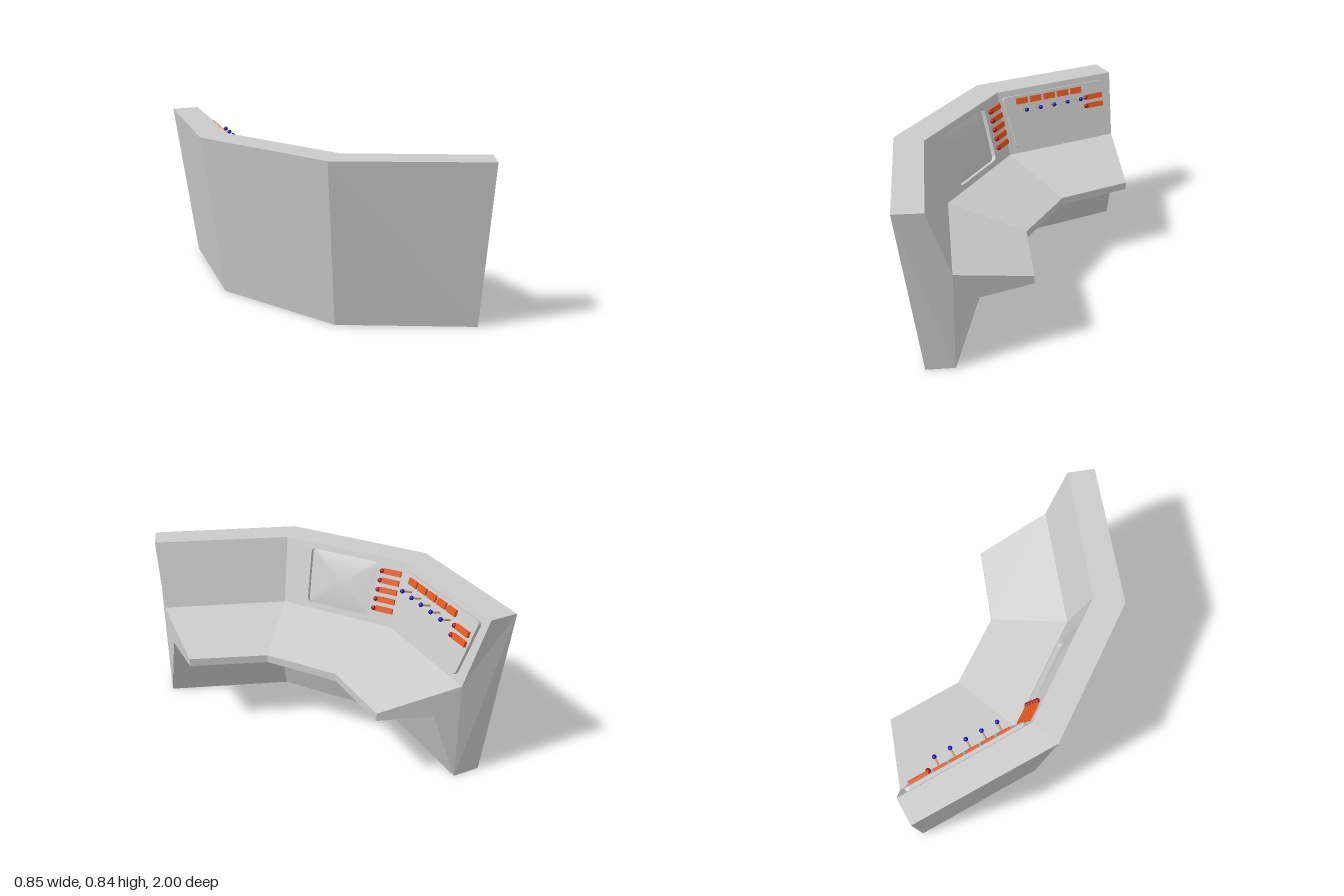
import * as THREE from 'three';
import { toCreasedNormals } from 'three/addons/utils/BufferGeometryUtils.js';

const material = (color) => new THREE.MeshStandardMaterial({ color });
const grey = material(0xcccccc), orange = material(0xe85a20), red = material(0xb01414);
const blue = material(0x1414c0), brass = material(0xc8a060);

function add(parent, name, geometry, mat, x = 0, y = 0, z = 0) {
  const mesh = new THREE.Mesh(geometry, mat);
  mesh.name = name;
  mesh.position.set(x, y, z);
  parent.add(mesh);
  return mesh;
}

function surface(triangles) {
  const g = new THREE.BufferGeometry();
  g.setAttribute('position', new THREE.Float32BufferAttribute(triangles.flat(2), 3));
  g.computeVertexNormals();
  return g;
}

// Polygon with rounded corners, corners listed counter-clockwise
function roundedShape(corners, r) {
  const pts = corners.map(([x, y]) => new THREE.Vector2(x, y));
  const shape = new THREE.Shape();
  pts.forEach((p, i) => {
    const toward = (q) => p.clone().add(q.clone().sub(p).setLength(r));
    const a = toward(pts[(i + pts.length - 1) % pts.length]);
    const b = toward(pts[(i + 1) % pts.length]);
    if (i === 0) shape.moveTo(a.x, a.y); else shape.lineTo(a.x, a.y);
    shape.quadraticCurveTo(p.x, p.y, b.x, b.y);
  });
  shape.closePath();
  return shape;
}

// Group lying on a sloped panel: x along it, y up the slope, z outwards
function panelGroup(name, origin, along, up) {
  const u = new THREE.Vector3(...along).normalize();
  const v = new THREE.Vector3(...up).normalize();
  const group = new THREE.Group();
  group.name = name;
  group.applyMatrix4(new THREE.Matrix4().makeBasis(u, v, u.clone().cross(v)).setPosition(...origin));
  return group;
}

// Desk body: one profile at the outer end and at the bend, mirrored in z
function consoleBody() {
  const end = [[0, 0.84, 1], [0.115, 0.84, 0.92], [0.185, 0.51, 0.835], [0.42, 0.4, 0.52],
    [0.42, 0.36, 0.52], [0.26, 0.36, 0.737], [0.185, 0, 0.835], [0.07, 0, 0.915]];
  const bend = [[-0.43, 0.84, 0.385], [-0.28, 0.84, 0.345], [-0.18, 0.51, 0.31], [0.2, 0.4, 0.195],
    [0.2, 0.36, 0.195], [-0.062, 0.36, 0.275], [-0.18, 0, 0.31], [-0.32, 0, 0.352]];
  const mirror = (s) => s.map(([x, y, z]) => [x, y, -z]);
  const sections = [end, bend, mirror(bend), mirror(end)];
  const tris = [];
  for (let i = 0; i < 3; i++) {
    for (let j = 0; j < 8; j++) {
      if (i === 1 && j === 1) continue; // screen panel is made separately
      const k = (j + 1) % 8, s = sections[i], t = sections[i + 1];
      tris.push([s[j], s[k], t[k]], [s[j], t[k], t[j]]);
    }
  }
  // end caps
  for (const [a, b, c] of [[2, 3, 4], [2, 4, 5], [2, 5, 6], [0, 1, 2], [0, 2, 6], [0, 6, 7]]) {
    tris.push([sections[0][a], sections[0][c], sections[0][b]]);
    tris.push([sections[3][a], sections[3][b], sections[3][c]]);
  }
  return surface(tris);
}

// Recess walls and domed screen, lofted inwards from the outline
function screenGeometry(outline, cy) {
  const pts = outline.getPoints(6).slice(0, -1);
  const depth = 0.022, dome = 0.014;
  const ring = (k, z) => pts.map((p) => [p.x * k, cy + (p.y - cy) * k, z]);
  const rings = [ring(1, 0), ring(1, -depth)];
  for (const k of [0.95, 0.8, 0.6, 0.4, 0.2, 0.001]) rings.push(ring(k, -depth + dome * (1 - k * k)));
  const tris = [];
  for (let i = 0; i < rings.length - 1; i++) {
    for (let j = 0; j < pts.length; j++) {
      const k = (j + 1) % pts.length, a = rings[i], b = rings[i + 1];
      tris.push([a[j], a[k], b[k]], [a[j], b[k], b[j]]);
    }
  }
  return toCreasedNormals(surface(tris), 0.6);
}

// Orange bar with a red knob at its left end
function labelledButton(parent, x, y, z, length) {
  add(parent, 'buttonBar', new THREE.BoxGeometry(length, 0.027, 0.014), orange, x, y, z + 0.007);
  add(parent, 'buttonKnob', new THREE.SphereGeometry(0.012, 12, 8), red, x - length / 2 - 0.008, y, z + 0.012);
}

export function createModel() {
  const model = new THREE.Group();
  model.name = 'controlConsole';
  add(model, 'consoleBody', consoleBody(), grey);

  // Middle panel with recessed screen
  const middle = panelGroup('middlePanel', [-0.18, 0.51, 0], [0, 0, -1], [-0.1, 0.33, 0]);
  model.add(middle);
  const height = Math.hypot(0.1, 0.33);
  const face = new THREE.Shape([[-0.31, 0], [0.31, 0], [0.345, height], [-0.345, height]]
    .map(([x, y]) => new THREE.Vector2(x, y)));
  const outline = roundedShape([[-0.175, 0.03], [0.175, 0.03], [0.193, 0.315], [-0.193, 0.315]], 0.025);
  face.holes.push(new THREE.Path(outline.getPoints(6)));
  add(middle, 'screenSurround', new THREE.ShapeGeometry(face), grey);
  add(middle, 'screen', screenGeometry(outline, 0.172), grey);
  for (let i = 0; i < 5; i++) labelledButton(middle, 0.264 + i * 0.0037, 0.082 + i * 0.049, 0, 0.095);

  // Right wing panel with raised control plate
  const wing = panelGroup('wingPanel', [-0.18, 0.51, -0.31], [0.566, 0, -0.824],
    [-0.102 * 0.824, 0.33, -0.102 * 0.566]);
  model.add(wing);
  const thickness = 0.018;
  const plate = roundedShape([[0.045, 0.026], [0.582, 0.026], [0.622, 0.314], [-0.008, 0.314]], 0.025);
  add(wing, 'controlPlate', new THREE.ExtrudeGeometry(plate,
    { depth: thickness, bevelEnabled: false, curveSegments: 6 }), grey);

  // Indicator blocks, each with a lever below
  for (let i = 0; i < 5; i++) {
    const x = 0.1 + i * 0.083;
    add(wing, 'indicator', new THREE.BoxGeometry(0.066, 0.032, 0.012), orange, x, 0.283, thickness + 0.006);
    const stick = add(wing, 'leverStick', new THREE.CylinderGeometry(0.005, 0.005, 0.07, 8), brass, x, 0.237, 0.037);
    stick.rotation.x = Math.PI / 2;
    add(wing, 'leverKnob', new THREE.SphereGeometry(0.011, 12, 8), blue, x, 0.237, 0.074);
  }
  for (const y of [0.187, 0.234]) labelledButton(wing, 0.542, y, thickness, 0.098);

  return model;
}
